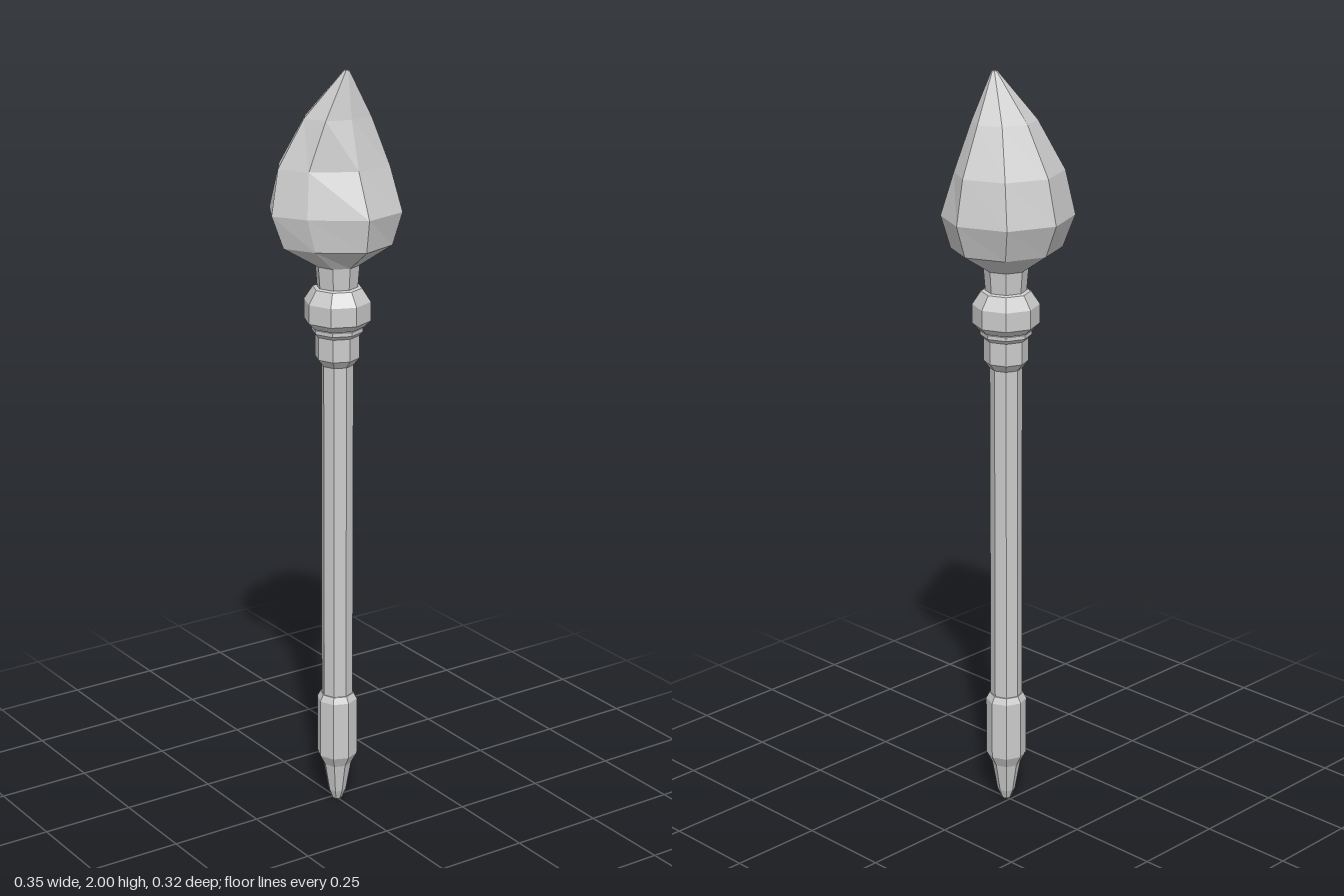
import * as THREE from 'three';

const SIDES = 8;
const AXIS_Z = 0.015; // the handle sits slightly in front of the centre

export function createModel() {
  const group = new THREE.Group();
  const material = new THREE.MeshStandardMaterial({ color: 0xcccccc, flatShading: true });

  // Eight-sided turned part from [radius, height] pairs, bottom to top
  const turned = (name, profile) => {
    const points = profile.map(([r, y]) => new THREE.Vector2(r, y));
    const mesh = new THREE.Mesh(new THREE.LatheGeometry(points, SIDES), material);
    mesh.name = name;
    mesh.position.z = AXIS_Z;
    group.add(mesh);
    return mesh;
  };

  turned('endCap', [
    [0, 0], [0.013, 0.003], [0.024, 0.03], [0.038, 0.11], [0.054, 0.14],
    [0.054, 0.3], [0.045, 0.317], [0, 0.317],
  ]);
  turned('handle', [[0.042, 0.31], [0.042, 1.25]]);
  turned('ferrule', [
    [0, 1.235], [0.042, 1.235], [0.058, 1.255], [0.058, 1.315], [0.067, 1.325],
    [0.067, 1.335], [0.058, 1.34],
  ]);
  turned('collar', [
    [0.055, 1.335], [0.07, 1.338], [0.087, 1.355], [0.087, 1.405],
    [0.064, 1.44], [0.054, 1.443],
  ]);
  turned('neck', [[0.052, 1.43], [0.058, 1.505]]);

  // Bristle head: each ring has a radius, a height and the depth of its
  // eight corners, starting at the front and going round by the left side
  const rings = [
    { r: 0.058, y: 1.5 },
    { r: 0.146, y: 1.555, z: [0.145, 0.11, 0.015, -0.085, -0.125, -0.085, -0.01, 0.07] },
    { r: 0.174, y: 1.64, z: [0.157, 0.125, 0.015, -0.11, -0.16, -0.11, -0.02, 0.065] },
    { r: 0.15, y: 1.755, z: [0.11, 0.093, 0.017, -0.087, -0.132, -0.09, -0.027, 0.046] },
    { r: 0.09, y: 1.88, z: [0.078, 0.073, 0.025, -0.035, -0.06, -0.035, 0, 0.058] },
    { r: 0.007, y: 2, centre: 0.055 },
    { r: 0, y: 2, centre: 0.055 },
  ];
  const head = turned('bristles', rings.map(({ r, y }) => [r, y]));
  head.position.z = 0;
  const position = head.geometry.attributes.position;
  for (let i = 0; i < position.count; i++) {
    const ring = rings[i % rings.length];
    const side = Math.floor(i / rings.length) % SIDES;
    position.setZ(i, ring.z ? ring.z[side] : position.getZ(i) + (ring.centre ?? AXIS_Z));
  }
  head.geometry.computeVertexNormals();

  return group;
}
